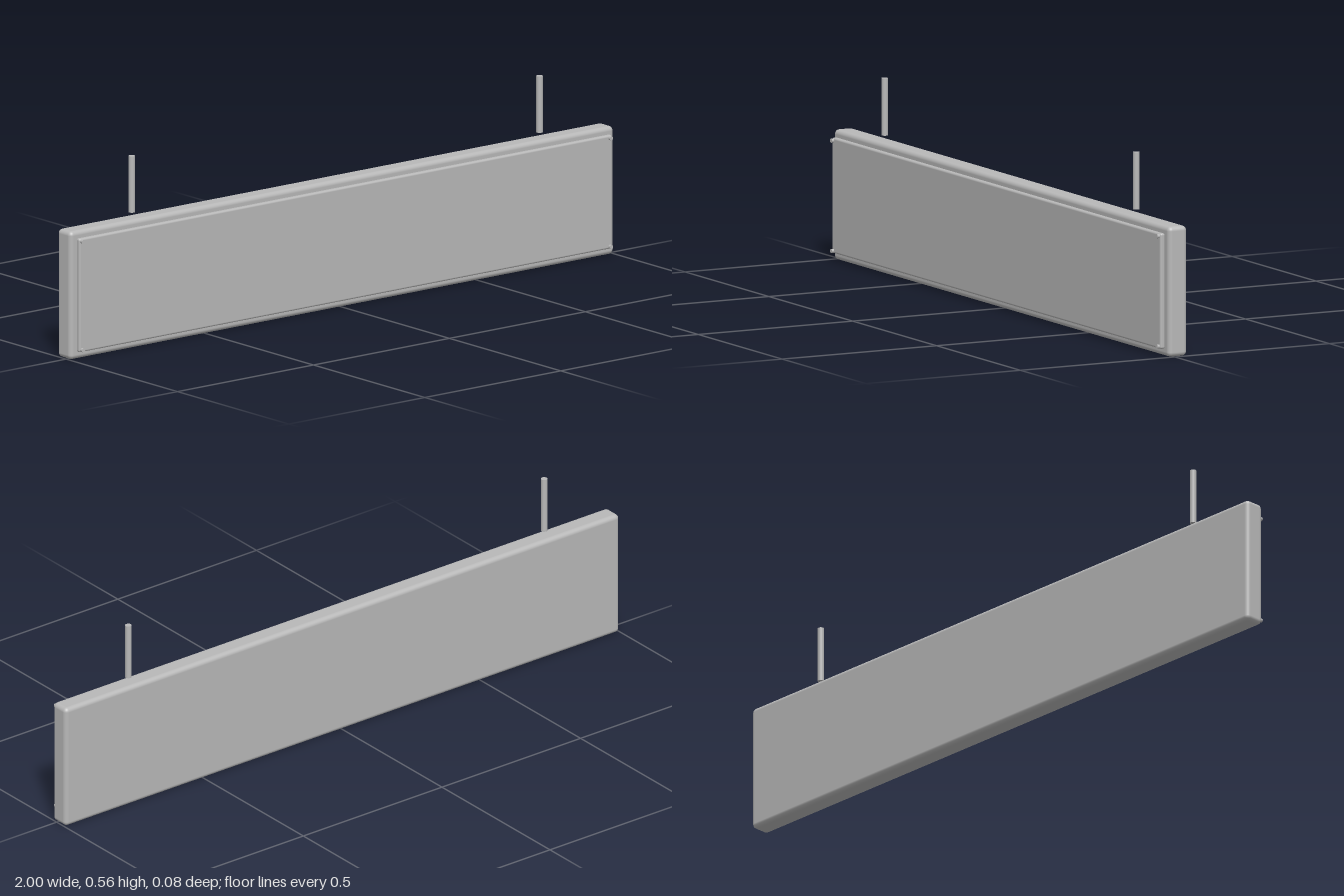
import * as THREE from 'three';
import { RoundedBoxGeometry } from 'three/addons/geometries/RoundedBoxGeometry.js';

export function createModel() {
  const model = new THREE.Group();
  model.name = 'hangingSign';
  const grey = new THREE.MeshStandardMaterial({ color: 0xb8b8b8 });
  grey.name = 'grey';

  const add = (name, geometry, x, y, z) => {
    const mesh = new THREE.Mesh(geometry, grey);
    mesh.name = name;
    mesh.position.set(x, y, z);
    model.add(mesh);
    return mesh;
  };

  // Sign board and the slimmer cover panel on its front
  add('board', new RoundedBoxGeometry(2, 0.375, 0.061, 5, 0.013), 0, 0.1875, -0.0108);
  add('frontPanel', new RoundedBoxGeometry(1.96, 0.333, 0.016, 4, 0.006), 0, 0.1885, 0.0278);

  // Hanging rods float just above the board
  const rod = new THREE.CylinderGeometry(0.0095, 0.0095, 0.165, 32);
  // Screw heads at the panel corners
  const screw = new THREE.CylinderGeometry(0.006, 0.006, 0.008, 24).rotateX(Math.PI / 2);

  for (const side of [-1, 1]) {
    const label = side > 0 ? 'left' : 'right';
    add(`${label}Rod`, rod, side * 0.75, 0.4725, -0.0108);
    add(`${label}TopScrew`, screw, side * 0.971, 0.347, 0.039);
    add(`${label}BottomScrew`, screw, side * 0.971, 0.029, 0.039);
  }
  return model;
}
